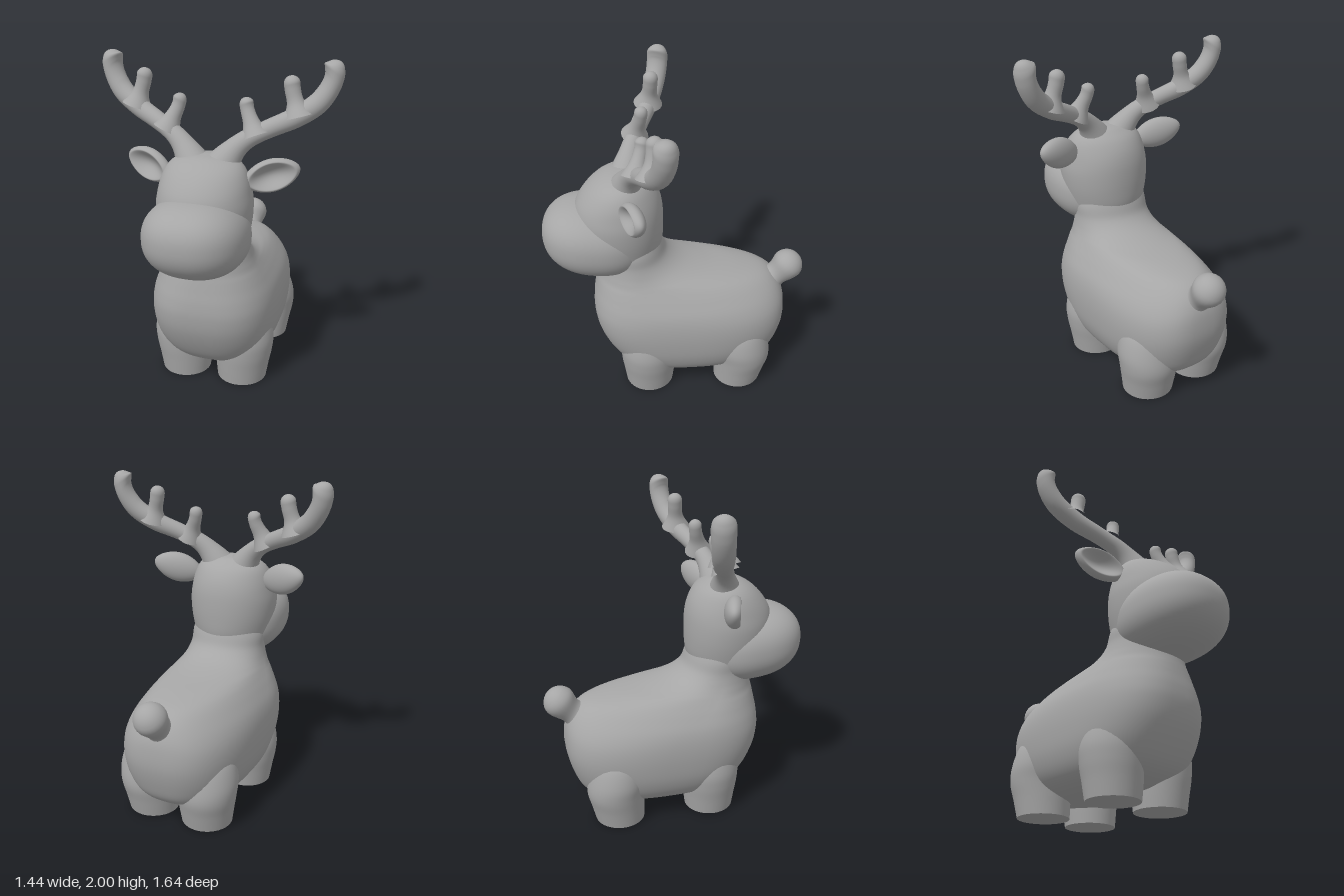
import * as THREE from 'three';
import { mergeVertices } from 'three/addons/utils/BufferGeometryUtils.js';

const grey = new THREE.MeshStandardMaterial({ color: 0xa6a6a6 });
grey.name = 'clay grey';

function part(name, geometry) {
  const mesh = new THREE.Mesh(geometry, grey);
  mesh.name = name;
  return mesh;
}

// Weld seams and give the whole surface smooth normals
function smooth(geometry) {
  geometry.deleteAttribute('uv');
  geometry.deleteAttribute('normal');
  const welded = mergeVertices(geometry, 1e-5);
  welded.computeVertexNormals();
  return welded;
}

// Loft of horizontal sections: [y, front z, back z, z of widest point, half width, roundness, centre x]
function loft(sections, steps = 6, sides = 64) {
  const size = sections[0].length;
  const spline = new THREE.CubicInterpolant(sections.map((s, i) => i), sections.flat(), size);
  const rows = (sections.length - 1) * steps;
  const pos = [], index = [];
  for (let i = 0; i <= rows; i++) {
    const [y, zf, zb, zc, hw, n, cx] = spline.evaluate(i / steps);
    for (let j = 0; j <= sides; j++) {
      const a = (j % sides) / sides * Math.PI * 2;
      const power = (v) => Math.sign(v) * Math.pow(Math.abs(v), 2 / n);
      const c = power(Math.cos(a));
      pos.push(cx + Math.max(hw, 0) * power(Math.sin(a)), y, zc + c * (c > 0 ? zf - zc : zc - zb));
    }
  }
  for (let i = 0; i < rows; i++) {
    for (let j = 0; j < sides; j++) {
      const a = i * (sides + 1) + j, b = a + sides + 1;
      index.push(a, a + 1, b + 1, a, b + 1, b);
    }
  }
  const g = new THREE.BufferGeometry();
  g.setAttribute('position', new THREE.Float32BufferAttribute(pos, 3));
  g.setIndex(index);
  return smooth(g);
}

// Tube of varying radius with a rounded tip
function sweep(points, radii, segments = 72, sides = 24) {
  const curve = new THREE.CatmullRomCurve3(points.map((p) => new THREE.Vector3(...p)));
  const g = new THREE.TubeGeometry(curve, segments, 1, sides);
  const length = curve.getLength();
  const spline = new THREE.CubicInterpolant(radii.map((r, i) => i), radii, 1);
  const tip = radii[radii.length - 1];
  const p = g.attributes.position, v = new THREE.Vector3();
  for (let i = 0; i <= segments; i++) {
    // rings crowd toward the tip
    const t = 1 - Math.pow(1 - i / segments, 1.7);
    const centre = curve.getPointAt(t), old = curve.getPointAt(i / segments);
    let r = spline.evaluate(t * (radii.length - 1))[0];
    const over = (t * length - (length - tip)) / tip;
    if (over > 0) r *= Math.sqrt(Math.max(0, 1 - over * over));
    for (let j = 0; j <= sides; j++) {
      const k = i * (sides + 1) + j;
      v.fromBufferAttribute(p, k).sub(old).multiplyScalar(r).add(centre);
      p.setXYZ(k, v.x, v.y, v.z);
    }
  }
  return smooth(g);
}

// Superellipsoid snout, tilted slightly upward toward the front
function muzzleGeometry() {
  const g = new THREE.SphereGeometry(1, 64, 48);
  const p = g.attributes.position, n = 2.3;
  for (let i = 0; i < p.count; i++) {
    const x = p.getX(i), y = p.getY(i), z = p.getZ(i);
    const k = Math.pow(Math.abs(x) ** n + Math.abs(y) ** n + Math.abs(z) ** n, -1 / n);
    p.setXYZ(i, 0.3 * x * k, 1.05 + 0.232 * y * k + 0.03 * z * k, 0.49 + 0.33 * z * k);
  }
  return smooth(g);
}

// Leaf-shaped ear with a hollow pressed into its front
function earGeometry() {
  const g = new THREE.SphereGeometry(1, 48, 48);
  g.rotateX(Math.PI / 2);
  const p = g.attributes.position;
  for (let i = 0; i < p.count; i++) {
    const x = p.getX(i), y = p.getY(i);
    let z = p.getZ(i);
    if (z > 0) z -= 1.25 * Math.pow(Math.max(0, 1 - (x * x + y * y) / 0.72), 1.2);
    p.setXYZ(i, 0.165 * x, 0.096 * y * (1 - 0.18 * x * x), 0.062 * z);
  }
  return smooth(g);
}

function legGeometry(side, z) {
  const back = z < 0 ? 0.012 : 0;
  const row = (y, cx, r, dz = 0) => [y, z + dz + r, z + dz - r, z + dz, r, 2, side * cx];
  return loft([
    row(0, 0.186, 0.155), row(0.1, 0.19, 0.168, -back), row(0.2, 0.197, 0.18, -2 * back),
    row(0.3, 0.2, 0.182, -back), row(0.42, 0.19, 0.16), row(0.5, 0.18, 0.1),
  ], 5, 40);
}

export function createModel() {
  const model = new THREE.Group();
  model.name = 'reindeer';

  // Torso, chest and neck in one flowing skin
  model.add(part('body', loft([
    [0.085, -0.09, -0.11, -0.1, 0, 2.4, 0],
    [0.095, 0.2, -0.42, -0.08, 0.16, 2.4, 0],
    [0.135, 0.31, -0.55, -0.06, 0.27, 2.5, 0],
    [0.2, 0.395, -0.63, -0.04, 0.335, 2.6, 0],
    [0.3, 0.46, -0.675, -0.02, 0.375, 2.7, 0],
    [0.42, 0.51, -0.705, 0, 0.39, 2.75, 0],
    [0.53, 0.53, -0.707, 0.03, 0.388, 2.7, 0],
    [0.62, 0.528, -0.69, 0.08, 0.37, 2.5, 0],
    [0.7, 0.515, -0.645, 0.15, 0.333, 2.3, 0],
    [0.755, 0.505, -0.565, 0.2, 0.303, 2.15, 0],
    [0.79, 0.498, -0.41, 0.22, 0.284, 2.05, 0],
    [0.82, 0.492, -0.2, 0.24, 0.27, 2, 0],
    [0.86, 0.485, -0.045, 0.25, 0.256, 2, 0],
    [0.92, 0.475, 0.048, 0.26, 0.243, 2, 0],
    [1.0, 0.46, 0.085, 0.27, 0.238, 2, 0],
    [1.1, 0.44, 0.12, 0.27, 0.2, 2, 0],
  ])));

  // Head
  model.add(part('head', loft([
    [0.84, 0.44, 0.2, 0.32, 0.15, 2, 0],
    [0.92, 0.52, 0.115, 0.33, 0.225, 2, 0],
    [1.0, 0.58, 0.086, 0.34, 0.252, 2, 0],
    [1.1, 0.615, 0.077, 0.345, 0.273, 2.05, 0],
    [1.2, 0.622, 0.077, 0.345, 0.28, 2.05, 0],
    [1.28, 0.605, 0.085, 0.34, 0.27, 2.05, 0],
    [1.35, 0.565, 0.105, 0.335, 0.254, 2, 0],
    [1.41, 0.51, 0.14, 0.325, 0.226, 2, 0],
    [1.45, 0.452, 0.185, 0.315, 0.183, 2, 0],
    [1.475, 0.39, 0.23, 0.31, 0.11, 2, 0],
    [1.485, 0.31, 0.31, 0.31, 0, 2, 0],
  ])));
  model.add(part('muzzle', muzzleGeometry()));

  // Tail
  model.add(part('tail', sweep(
    [[0, 0.61, -0.57], [0, 0.69, -0.662], [0, 0.76, -0.728], [0, 0.827, -0.793]],
    [0.14, 0.08, 0.099, 0.102])));

  for (const s of [1, -1]) {
    const side = s > 0 ? 'left' : 'right';

    // Legs with flat soles
    for (const [end, z] of [['Front', 0.185], ['Back', -0.405]]) {
      model.add(part(side + end + 'Leg', legGeometry(s, z)));
      const sole = part(side + end + 'Sole', new THREE.CircleGeometry(0.155, 40));
      sole.rotation.x = Math.PI / 2;
      sole.position.set(s * 0.186, 0, z);
      model.add(sole);
    }

    // Ears
    const ear = part(side + 'Ear', earGeometry());
    ear.position.set(s * 0.368, 1.372, 0.262);
    ear.rotation.set(0, s * 0.35, s * 0.27);
    model.add(ear);

    // Antlers: a main beam and two tines
    const antler = new THREE.Group();
    antler.name = side + 'Antler';
    const mirror = (points) => points.map(([x, y, z]) => [s * x, y, z]);
    antler.add(part('beam', sweep(mirror([
      [0.09, 1.42, 0.295], [0.135, 1.49, 0.277], [0.21, 1.56, 0.25], [0.33, 1.622, 0.205],
      [0.47, 1.685, 0.15], [0.59, 1.77, 0.108], [0.65, 1.87, 0.085], [0.665, 2.0, 0.078],
    ]), [0.1, 0.064, 0.053, 0.054, 0.059, 0.063, 0.065, 0.066], 96)));
    antler.add(part('lowerTine', sweep(mirror([
      [0.265, 1.58, 0.235], [0.235, 1.65, 0.218], [0.205, 1.72, 0.198], [0.193, 1.79, 0.19],
    ]), [0.085, 0.05, 0.04, 0.043])));
    antler.add(part('upperTine', sweep(mirror([
      [0.485, 1.69, 0.148], [0.465, 1.76, 0.14], [0.445, 1.83, 0.132], [0.432, 1.912, 0.128],
    ]), [0.09, 0.05, 0.045, 0.049])));
    model.add(antler);
  }
  return model;
}
